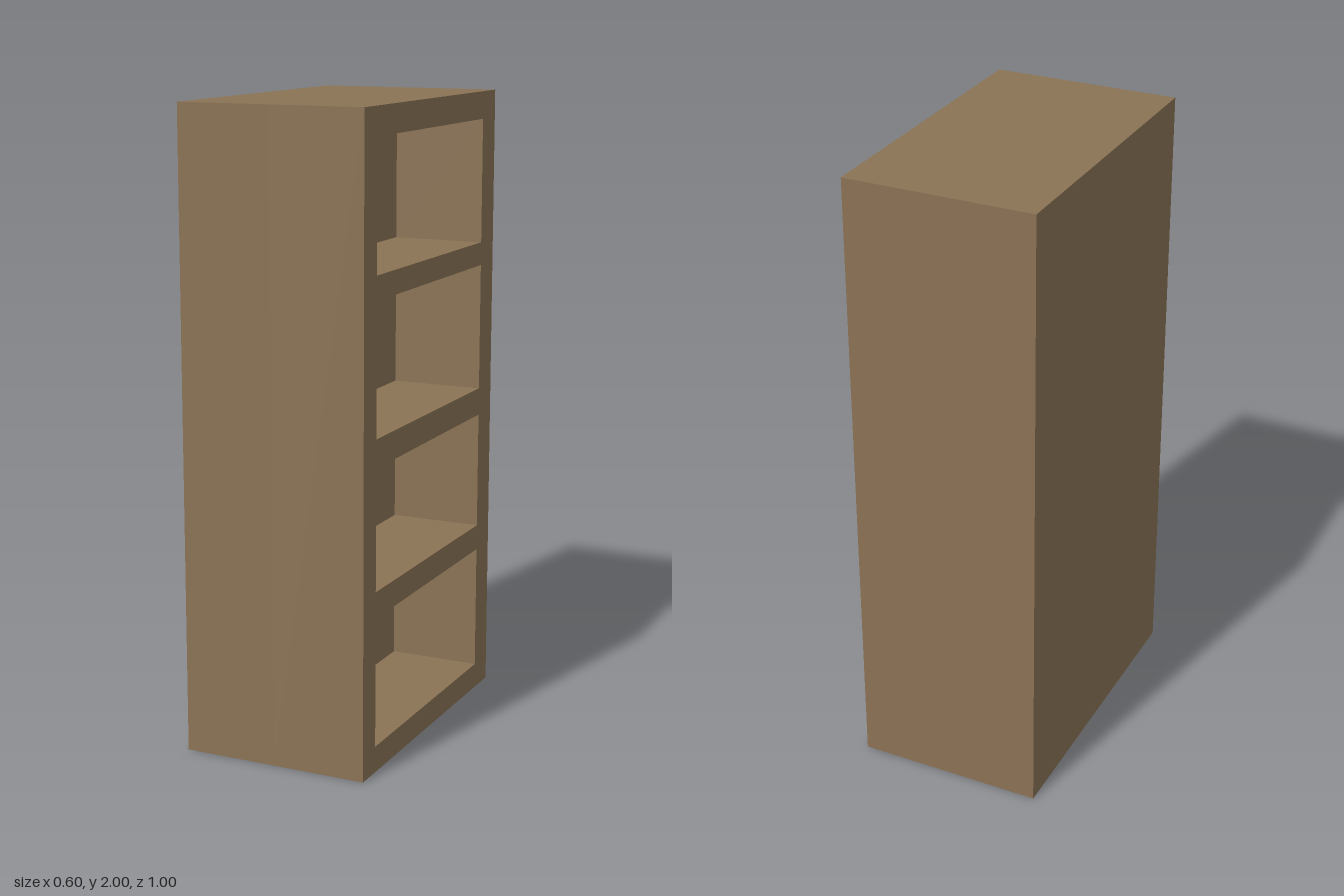
import * as THREE from 'three';

const WIDTH = 0.6, HEIGHT = 2, DEPTH = 1;
const BACK_X = 0; // plane of the compartments' back wall
const OPENING_Z = [-0.397, 0.413];
// bottom and top of each compartment
const COMPARTMENTS = [[0.082, 0.487], [0.57, 0.948], [1.036, 1.444], [1.518, 1.913]];

// Rectangle outline; u runs along -z so that the extrusion can be turned to +x
function rectangle(path, u0, u1, y0, y1) {
  path.moveTo(u0, y0);
  path.lineTo(u1, y0);
  path.lineTo(u1, y1);
  path.lineTo(u0, y1);
  path.closePath();
  return path;
}

export function createModel() {
  const group = new THREE.Group();
  group.name = 'bookcase';
  const wood = new THREE.MeshStandardMaterial({ color: 0x8b7355 });

  // Shelf frame: full side outline with four compartments cut through
  const outline = rectangle(new THREE.Shape(), -DEPTH / 2, DEPTH / 2, 0, HEIGHT);
  for (const [y0, y1] of COMPARTMENTS) {
    outline.holes.push(rectangle(new THREE.Path(), -OPENING_Z[1], -OPENING_Z[0], y0, y1));
  }
  const frameGeometry = new THREE.ExtrudeGeometry(outline, {
    depth: WIDTH / 2 - BACK_X,
    bevelEnabled: false,
  });
  frameGeometry.rotateY(Math.PI / 2).translate(BACK_X, 0, 0);
  const frame = new THREE.Mesh(frameGeometry, wood);
  frame.name = 'shelfFrame';
  group.add(frame);

  // Solid back that closes the compartments
  const backThickness = BACK_X + WIDTH / 2;
  const back = new THREE.Mesh(new THREE.BoxGeometry(backThickness, HEIGHT, DEPTH), wood);
  back.name = 'backBlock';
  back.position.set(BACK_X - backThickness / 2, HEIGHT / 2, 0);
  group.add(back);

  return group;
}
